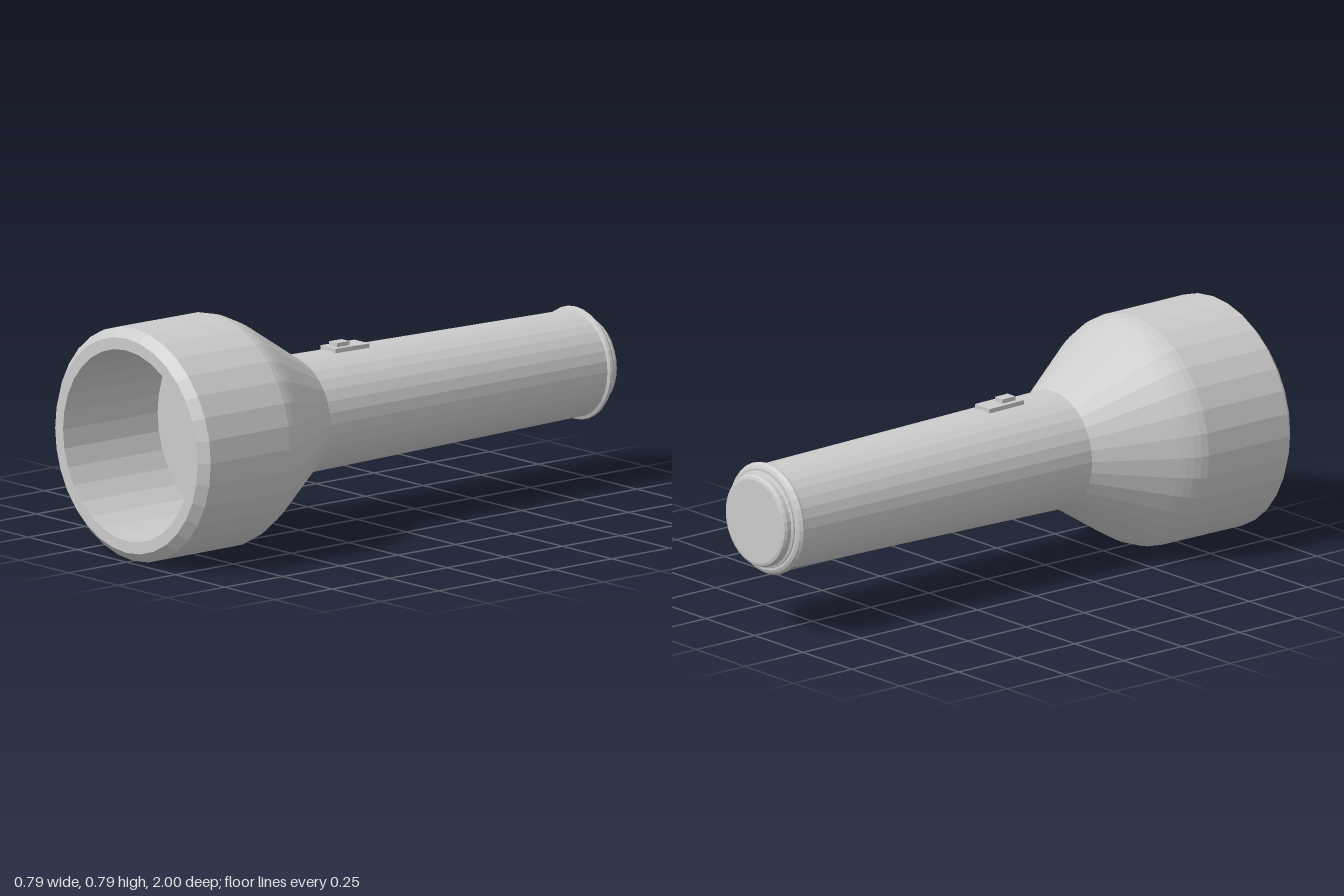
import * as THREE from 'three';

const SIDES = 32;
const AXIS_Y = 0.393; // height of the torch's long axis

export function createModel() {
  const torch = new THREE.Group();
  torch.name = 'torch';
  const material = new THREE.MeshStandardMaterial({ color: 0xcccccc, flatShading: true });

  // Turned part lying along z: profile of [radius, z], tail to front
  const turned = (name, profile) => {
    const points = profile.map(([r, z]) => new THREE.Vector2(r, z));
    const geometry = new THREE.LatheGeometry(points, SIDES).rotateX(Math.PI / 2);
    const mesh = new THREE.Mesh(geometry, material);
    mesh.name = name;
    mesh.position.y = AXIS_Y;
    torch.add(mesh);
  };

  // Slim handle, slightly tapered towards the tail
  turned('handle', [[0, -0.94], [0.178, -0.94], [0.199, 0.285]]);

  // Flared head: cone, rounded shoulder, barrel, bevelled rim and hollow bowl
  turned('head', [
    [0.199, 0.285], [0.352, 0.53], [0.365, 0.553], [0.377, 0.577], [0.386, 0.6], [0.392, 0.625],
    [0.393, 0.97], [0.362, 1], [0.322, 1], [0.322, 0.59], [0, 0.59],
  ]);

  // Thin flange at the tail
  turned('tailFlange', [
    [0, -0.963], [0.172, -0.963], [0.182, -0.958], [0.19, -0.947], [0.188, -0.938], [0.176, -0.932],
  ]);

  // Rounded tail cap
  turned('tailCap', [[0, -1], [0.142, -1], [0.151, -0.997], [0.156, -0.988], [0.156, -0.972], [0.164, -0.968], [0.164, -0.96]]);

  // Switch on top of the handle, tilted with its taper
  const toggle = new THREE.Group();
  toggle.name = 'switch';
  toggle.position.set(0, AXIS_Y + 0.196, 0.0525);
  toggle.rotation.x = -0.017;
  const block = (name, w, h, d, y, z) => {
    const mesh = new THREE.Mesh(new THREE.BoxGeometry(w, h, d), material);
    mesh.name = name;
    mesh.position.set(0, y, z);
    toggle.add(mesh);
  };
  block('switchPlate', 0.076, 0.024, 0.147, -0.002, 0);
  block('switchButton', 0.04, 0.02, 0.055, 0.014, 0.025);
  torch.add(toggle);

  return torch;
}
